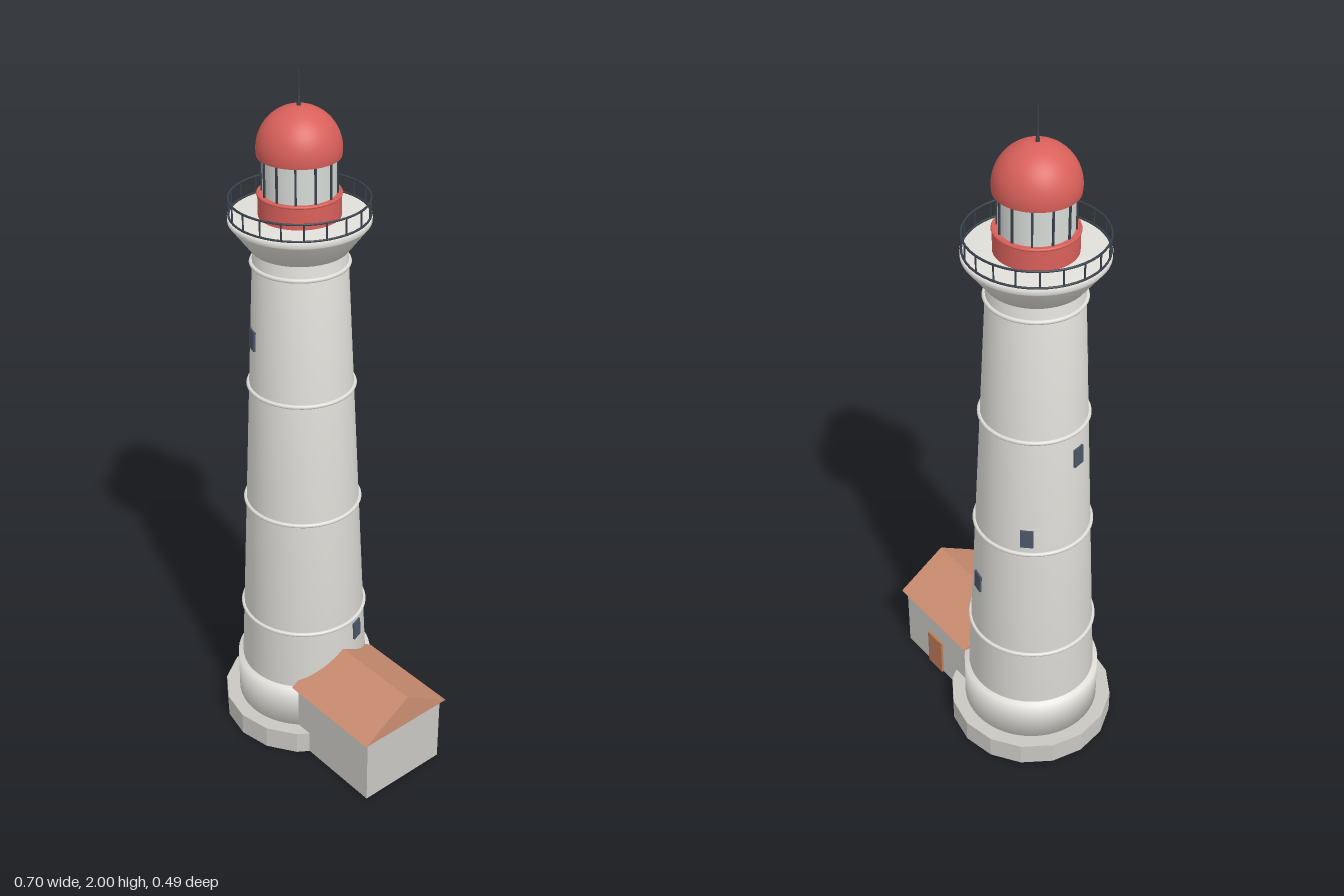
import * as THREE from 'three';

const mat = (name, color, extra = {}) => {
  const m = new THREE.MeshStandardMaterial({ color, ...extra });
  m.name = name;
  return m;
};

export function createModel() {
  const white = mat('whitewash', 0xe0dfda);
  const stone = mat('stone', 0xc9c7c2, { flatShading: true });
  const red = mat('red paint', 0xd9605a);
  const dark = mat('dark iron', 0x3a414b);
  const glass = mat('lantern glass', 0xd6dad6);
  const pane = mat('window pane', 0x4c5666);
  const tile = mat('roof tile', 0xcb8d70, { flatShading: true });
  const wood = mat('door wood', 0xbb7a55);

  const model = new THREE.Group();
  model.name = 'lighthouse';
  const tower = new THREE.Group();
  tower.name = 'tower';
  tower.position.x = -0.11;
  model.add(tower);

  const add = (parent, name, geometry, material, x = 0, y = 0, z = 0) => {
    const mesh = new THREE.Mesh(geometry, material);
    mesh.name = name;
    mesh.position.set(x, y, z);
    parent.add(mesh);
    return mesh;
  };
  // Closed, softly shaded solid of revolution
  const turned = (name, pts, material) =>
    add(tower, name, new THREE.LatheGeometry(pts.map(p => new THREE.Vector2(...p)), 48), material);
  const ring = (name, radius, tube, y, material) => {
    const mesh = add(tower, name, new THREE.TorusGeometry(radius, tube, 8, 48), material, 0, y);
    mesh.rotation.x = Math.PI / 2;
  };
  const radiusAt = y => 0.186 - (y - 0.2) * 0.0457;

  // Plinth, drum and tapering shaft
  add(tower, 'plinth', new THREE.CylinderGeometry(0.243, 0.243, 0.07, 16), stone, 0, 0.035);
  turned('drum', [[0, 0.06], [0.2, 0.06], [0.2, 0.205], [0, 0.205]], white);
  turned('shaft', [[0, 0.2], [radiusAt(0.2), 0.2], [radiusAt(1.54), 1.54], [0, 1.54]], white);
  for (const y of [0.395, 0.765, 1.135, 1.495]) ring('shaftBand', radiusAt(y) + 0.002, 0.006, y, white);

  // Small windows winding around the shaft
  for (let i = 0; i < 5; i++) {
    const y = 1.288 - i * 0.235;
    const pivot = new THREE.Group();
    pivot.name = 'windowMount';
    pivot.rotation.y = -THREE.MathUtils.degToRad(19 + i * 57.75);
    tower.add(pivot);
    const w = add(pivot, 'window', new THREE.BoxGeometry(0.036, 0.056, 0.009), pane, 0, y, radiusAt(y));
    w.rotation.x = -0.0457;
  }

  // Flared gallery with railing
  turned('gallery', [[0, 1.535], [0.13, 1.535], [0.183, 1.605], [0.187, 1.61], [0.187, 1.625], [0, 1.625]], white);
  ring('topRail', 0.183, 0.003, 1.672, dark);
  ring('bottomRail', 0.183, 0.003, 1.627, dark);
  for (let i = 0; i < 20; i++) {
    const a = i / 20 * Math.PI * 2;
    add(tower, 'railPost', new THREE.CylinderGeometry(0.0025, 0.0025, 0.05, 6), dark,
      Math.sin(a) * 0.183, 1.648, Math.cos(a) * 0.183);
  }

  // Lantern room
  add(tower, 'lanternBase', new THREE.CylinderGeometry(0.108, 0.108, 0.062, 48), red, 0, 1.655);
  ring('lanternSill', 0.107, 0.004, 1.684, red);
  add(tower, 'lanternGlass', new THREE.CylinderGeometry(0.095, 0.095, 0.11, 48), glass, 0, 1.735);
  for (let i = 0; i < 12; i++) {
    const a = (i + 0.5) / 12 * Math.PI * 2;
    const bar = add(tower, 'mullion', new THREE.BoxGeometry(0.005, 0.105, 0.005), dark,
      Math.sin(a) * 0.097, 1.735, Math.cos(a) * 0.097);
    bar.rotation.y = a;
  }

  // Dome with closed underside and mast
  add(tower, 'dome', new THREE.SphereGeometry(0.11, 48, 24, 0, Math.PI * 2, 0, Math.PI / 2 + 0.16), red, 0, 1.802);
  const soffit = add(tower, 'domeUnderside', new THREE.CircleGeometry(0.1085, 48), red, 0, 1.7846);
  soffit.rotation.x = Math.PI / 2;
  add(tower, 'mastFoot', new THREE.CylinderGeometry(0.003, 0.006, 0.035, 10), dark, 0, 1.922);
  add(tower, 'mast', new THREE.CylinderGeometry(0.002, 0.003, 0.07, 8), dark, 0, 1.965);

  // Keeper's house
  const house = new THREE.Group();
  house.name = 'house';
  model.add(house);
  add(house, 'walls', new THREE.BoxGeometry(0.31, 0.216, 0.28), stone, 0.185, 0.108, 0);
  const gable = new THREE.Shape([[-0.154, 0.213], [0.154, 0.213], [0, 0.31]].map(p => new THREE.Vector2(...p)));
  const roof = add(house, 'roof', new THREE.ExtrudeGeometry(gable, { depth: 0.33, bevelEnabled: false }), tile, 0.02);
  roof.rotation.y = Math.PI / 2;
  add(house, 'door', new THREE.BoxGeometry(0.07, 0.125, 0.009), wood, 0.19, 0.0625, -0.142);

  return model;
}
